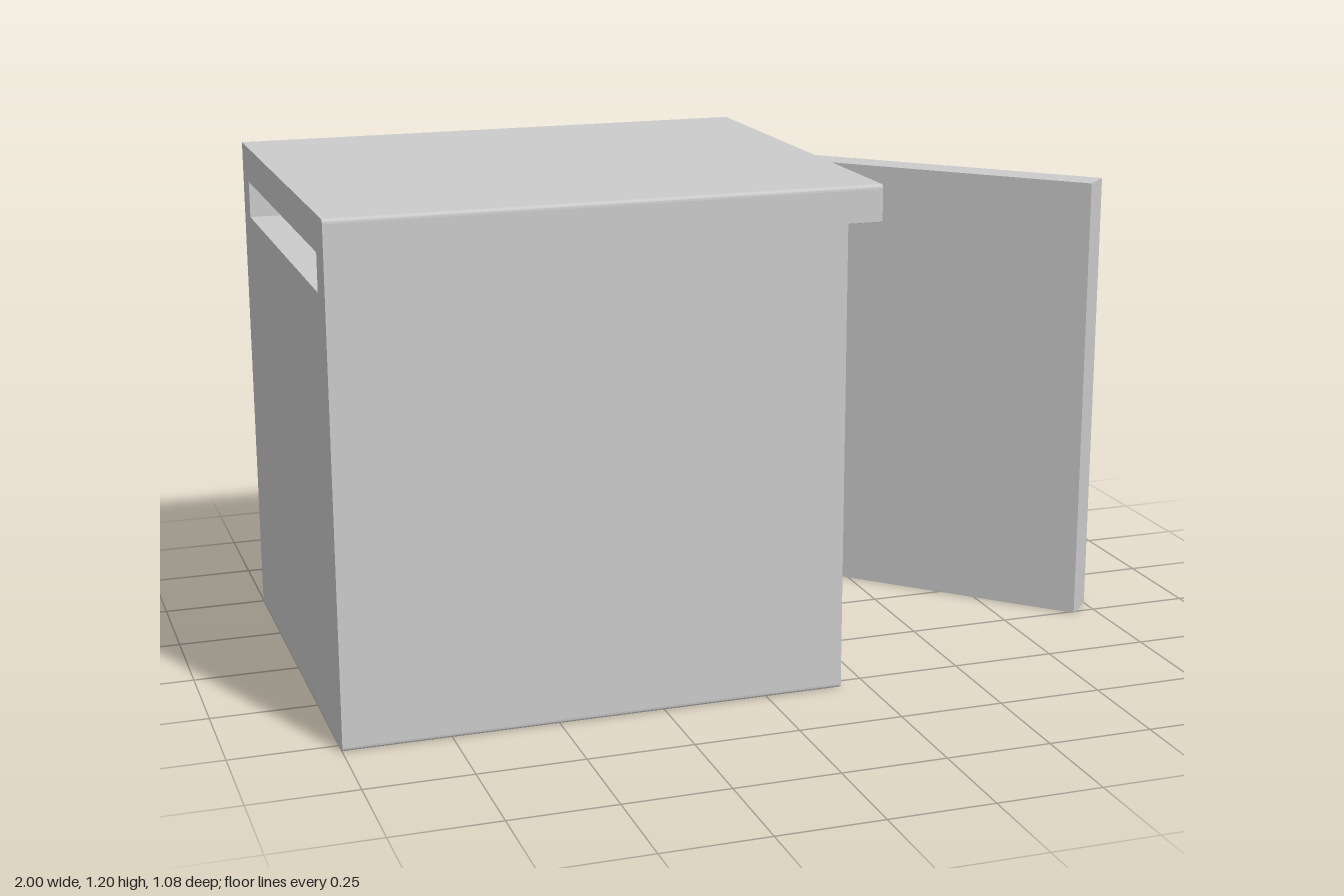
import * as THREE from 'three';
import { RoundedBoxGeometry } from 'three/addons/geometries/RoundedBoxGeometry.js';

const material = new THREE.MeshStandardMaterial({ color: 0xcccccc });
const H = 1.195, WALL = 0.085, BODY_H = 1.11;
const BACK = -0.51, FRONT = 0.54;

function add(parent, name, geometry, x = 0, y = 0, z = 0) {
  const mesh = new THREE.Mesh(geometry, material);
  mesh.name = name;
  mesh.position.set(x, y, z);
  parent.add(mesh);
  return mesh;
}

// Side profile (u = -z, v = y), with the two +z corners slightly eased
function profile(y0, y1, r0, r1) {
  const s = new THREE.Shape();
  s.moveTo(-BACK, y0);
  s.lineTo(-BACK, y1);
  s.lineTo(-FRONT + r1, y1);
  s.quadraticCurveTo(-FRONT, y1, -FRONT, y1 - r1);
  s.lineTo(-FRONT, y0 + r0);
  s.quadraticCurveTo(-FRONT, y0, -FRONT + r0, y0);
  s.closePath();
  return s;
}

// Rectangular opening between the side walls
function opening(y0, y1) {
  const a = -FRONT + 0.08, b = -BACK - 0.08;
  return new THREE.Path([[a, y0], [b, y0], [b, y1], [a, y1]].map(p => new THREE.Vector2(...p)));
}

// Extrude a side profile from x0 to x1
function extrudeX(shape, x0, x1) {
  return new THREE.ExtrudeGeometry(shape, { depth: x1 - x0, bevelEnabled: false, curveSegments: 4 })
    .rotateY(Math.PI / 2).translate(x0, 0, 0);
}

function rod(parent, name, axis, length, radius, x, y, z) {
  const g = new THREE.CapsuleGeometry(radius, length - 2 * radius, 4, 12);
  if (axis === 'x') g.rotateZ(Math.PI / 2);
  else g.rotateX(Math.PI / 2);
  add(parent, name, g, x, y, z);
}

function createShelf(y) {
  const shelf = new THREE.Group();
  shelf.name = 'wireShelf';
  shelf.position.y = y;
  const x0 = -0.89, x1 = 0.09, z0 = -0.408, z1 = 0.438, r = 0.017;
  const cx = (x0 + x1) / 2, cz = (z0 + z1) / 2;
  // outer frame
  for (const x of [x0, x1]) rod(shelf, 'frameRod', 'z', z1 - z0 + 2 * r, r, x, 0, cz);
  for (const z of [z0, z1]) rod(shelf, 'frameRod', 'x', x1 - x0 + 2 * r, r, cx, 0, z);
  // slats and cross supports
  for (let i = 1; i < 10; i++) rod(shelf, 'slat', 'z', z1 - z0, 0.014, x0 + (x1 - x0) * i / 10, 0, cz);
  for (let i = 1; i < 4; i++) rod(shelf, 'crossRod', 'x', x1 - x0, 0.014, cx, -0.003, z0 + (z1 - z0) * i / 4);
  return shelf;
}

function createDoor() {
  const door = new THREE.Group();
  door.name = 'door';
  add(door, 'doorPanel', new THREE.BoxGeometry(1.047, BODY_H, 0.085), 0, BODY_H / 2, 0);
  // handle on the outer face
  const hx = 0.413, hz = -0.0425;
  for (const y of [0.115, 1.0]) {
    add(door, 'handlePost', new RoundedBoxGeometry(0.046, 0.05, 0.06, 3, 0.008), hx, y, hz - 0.025);
  }
  add(door, 'handleBar', new RoundedBoxGeometry(0.046, 0.935, 0.03, 3, 0.011), hx, 0.5575, hz - 0.064);
  // swung half open
  door.rotation.y = -Math.PI / 4;
  door.position.set(0.6, 0, -0.141);
  return door;
}

export function createModel() {
  const model = new THREE.Group();
  model.name = 'openFridge';

  // cabinet: hollow shell, open on +x
  const shell = profile(0, H, 0.01, 0.01);
  shell.holes.push(opening(WALL, BODY_H));
  add(model, 'cabinetShell', extrudeX(shell, -1 + WALL, 0.185));

  // rear wall with vent slot
  const rear = profile(0, H, 0.01, 0.01);
  rear.holes.push(opening(1.022, BODY_H));
  add(model, 'rearWall', extrudeX(rear, -1, -1 + WALL));

  // top overhang above the door
  add(model, 'topOverhang', extrudeX(profile(BODY_H, H, 0.001, 0.01), 0.185, 0.268));

  for (const y of [0.317, 0.63, 0.943]) model.add(createShelf(y));
  model.add(createDoor());
  return model;
}
